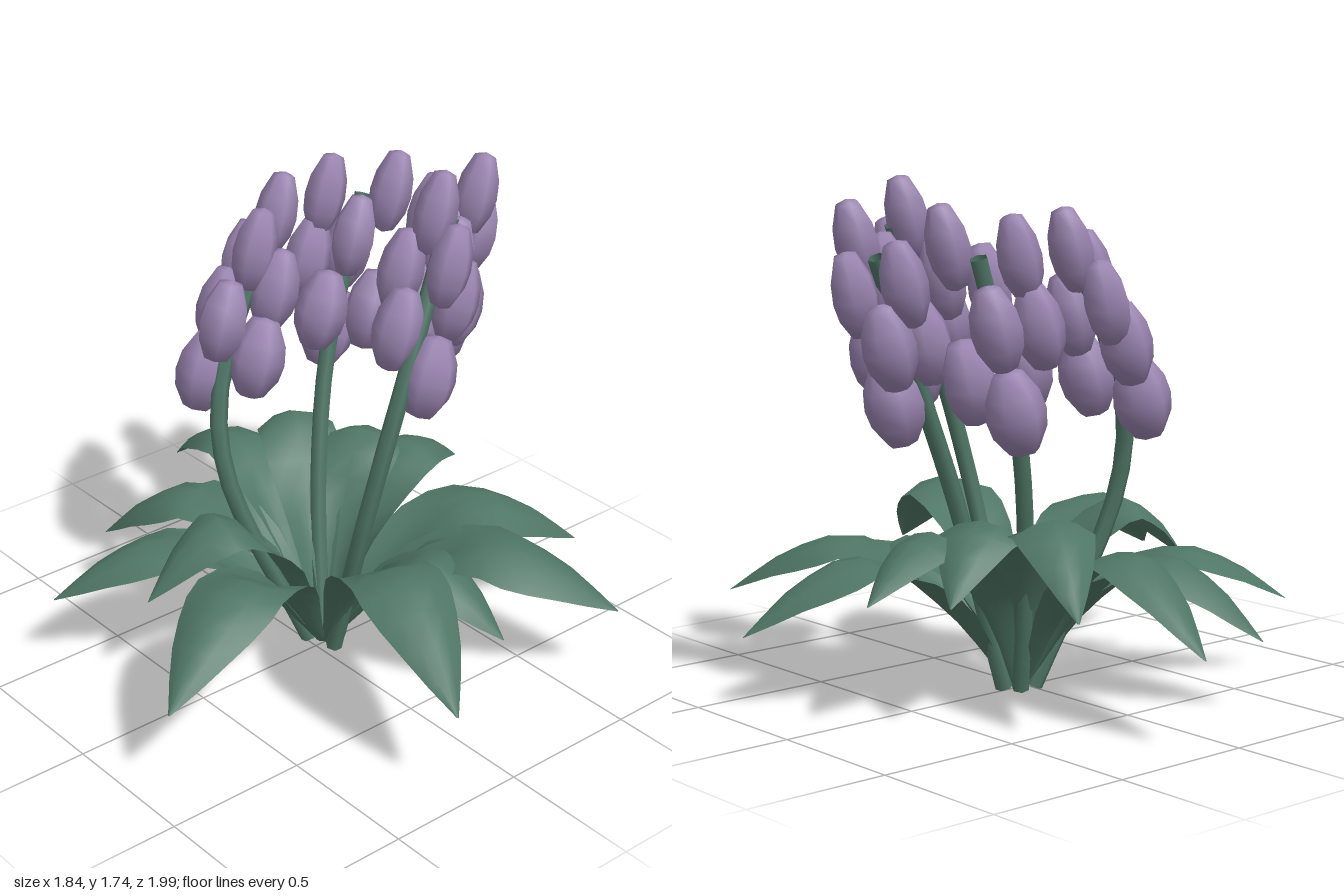
import * as THREE from 'three';

const V = (x, y, z) => new THREE.Vector3(x, y, z);
const ROOT = V(0.045, 0.01, -0.01);

// Arched leaf: cross-sections swept along a curve, channelled low down and domed past the bend
function leafGeometry(tipX, tipZ, tipY, peak, halfWidth) {
  const out = V(tipX - ROOT.x, 0, tipZ - ROOT.z);
  const reach = out.length();
  out.normalize();
  const side = V(-out.z, 0, out.x);
  const at = (r, y) => ROOT.clone().addScaledVector(out, r).setY(y);
  const curve = new THREE.CatmullRomCurve3([
    at(0.03, 0.01), at(0.28 * reach, peak * 0.6), at(0.58 * reach, peak),
    at(0.8 * reach, tipY + (peak - tipY) * 0.68), at(reach, tipY),
  ]);
  const rows = 12, cols = 4, pos = [], index = [];
  for (let i = 0; i <= rows; i++) {
    const t = i / rows;
    const p = curve.getPointAt(t);
    const up = side.clone().cross(curve.getTangentAt(t)).normalize();
    if (up.y < 0) up.negate();
    // widens steadily to two thirds of the length, then narrows to a point
    const w = halfWidth * (t < 0.64
      ? THREE.MathUtils.lerp(0.15, 1, Math.sin((t / 0.64) * Math.PI / 2) ** 1.5)
      : 1 - 0.98 * ((t - 0.64) / 0.36) ** 1.6);
    const depth = THREE.MathUtils.lerp(0.6, -0.45, THREE.MathUtils.smoothstep(t, 0.25, 0.72));
    for (let j = 0; j <= cols; j++) {
      const u = (2 * j) / cols - 1;
      const q = p.clone().addScaledVector(side, u * w).addScaledVector(up, u * u * depth * w);
      pos.push(q.x, Math.max(q.y, 0), q.z);
      if (i && j) {
        const d = i * (cols + 1) + j, c = d - 1, b = d - cols - 1, a = b - 1;
        index.push(a, b, d, a, d, c);
      }
    }
  }
  const g = new THREE.BufferGeometry();
  g.setAttribute('position', new THREE.Float32BufferAttribute(pos, 3));
  g.setIndex(index);
  g.computeVertexNormals();
  return g;
}

// Six-sided bud with blunt ends, one unit in radius and half height
function budGeometry() {
  const profile = [[0, -1], [0.5, -0.9], [0.9, -0.45], [1, -0.05], [0.9, 0.4], [0.5, 0.92], [0, 1]];
  return new THREE.LatheGeometry(profile.map(([r, y]) => new THREE.Vector2(r, y)), 6);
}

// Leaves: tip x, tip z, tip height, peak height, half width
const LEAVES = [
  [0.15, -1.0, 0.3, 0.57, 0.125], [-0.34, -0.78, 0.24, 0.5, 0.15],
  [-0.77, -0.48, 0.27, 0.47, 0.14], [-0.63, -0.12, 0.38, 0.62, 0.14],
  [-0.92, 0.38, 0.32, 0.57, 0.16], [-0.25, 0.99, 0.34, 0.63, 0.16],
  [0.24, 0.69, 0.27, 0.48, 0.14], [0.64, 0.83, 0.29, 0.5, 0.18],
  [0.92, 0.35, 0.25, 0.49, 0.17], [0.8, -0.16, 0.42, 0.61, 0.14],
  [0.4, -0.7, 0.4, 0.67, 0.14], [0.62, -0.35, 0.42, 0.65, 0.15],
];

export function createModel() {
  const model = new THREE.Group();
  const green = new THREE.MeshStandardMaterial({ color: 0x4f7666, side: THREE.DoubleSide });
  green.name = 'leaf green';
  const purple = new THREE.MeshStandardMaterial({ color: 0x9a84b0 });
  purple.name = 'petal purple';

  const add = (parent, name, geometry, material) => {
    const mesh = new THREE.Mesh(geometry, material);
    mesh.name = name;
    parent.add(mesh);
    return mesh;
  };

  const leaves = new THREE.Group();
  leaves.name = 'leaves';
  model.add(leaves);
  LEAVES.forEach((leaf) => add(leaves, 'leaf', leafGeometry(...leaf), green));

  // One stalk with its buds, which shrink upward and lean with the stem
  const budShape = budGeometry();
  const addFlower = (stem, buds) => {
    const flower = new THREE.Group();
    flower.name = 'flower';
    model.add(flower);
    const path = new THREE.CatmullRomCurve3(stem);
    add(flower, 'stem', new THREE.TubeGeometry(path, 14, 0.03, 6), green);
    buds.forEach((position, i) => {
      const f = THREE.MathUtils.clamp((position.y - 1) / 0.5, 0, 1);
      const radius = THREE.MathUtils.lerp(0.1, 0.072, f);
      const bud = add(flower, 'bud', budShape, purple);
      bud.position.copy(position);
      bud.scale.set(radius, 0.145, radius);
      bud.rotation.z = -0.28;
      bud.rotateY(i * 0.7);
    });
  };

  // Left-hand back flower
  addFlower(
    [V(0.01, 0.01, -0.05), V(-0.22, 0.68, -0.21), V(-0.19, 1, -0.27), V(0.06, 1.48, -0.32)],
    [V(-0.19, 1.01, -0.36), V(-0.08, 1.08, -0.21), V(-0.16, 1.21, -0.29), V(-0.08, 1.2, -0.4),
      V(0.02, 1.29, -0.24), V(0.02, 1.34, -0.41), V(-0.02, 1.43, -0.29), V(0.11, 1.51, -0.34)],
  );
  // Front flower
  addFlower(
    [V(0.04, 0.01, 0.05), V(0.04, 0.55, 0.2), V(0.16, 1.06, 0.25), V(0.42, 1.58, 0.18)],
    [V(0.25, 1.09, 0.28), V(0.19, 1.25, 0.19), V(0.33, 1.2, 0.12), V(0.39, 1.32, 0.25),
      V(0.29, 1.4, 0.09), V(0.45, 1.42, 0.16), V(0.34, 1.46, 0.27), V(0.38, 1.6, 0.155)],
  );
  // Middle back flower
  addFlower(
    [V(0.07, 0.01, -0.05), V(0.17, 0.55, -0.19), V(0.28, 0.98, -0.27), V(0.46, 1.5, -0.3)],
    [V(0.35, 1.01, -0.35), V(0.24, 1.14, -0.26), V(0.43, 1.1, -0.22), V(0.29, 1.28, -0.39),
      V(0.44, 1.28, -0.36), V(0.35, 1.4, -0.22), V(0.36, 1.5, -0.38), V(0.5, 1.53, -0.2)],
  );
  // Right-hand flower
  addFlower(
    [V(0.1, 0.01, 0), V(0.3, 0.65, 0), V(0.48, 1.08, -0.02), V(0.68, 1.5, -0.07)],
    [V(0.58, 1.17, 0.06), V(0.61, 1.03, -0.06), V(0.5, 1.22, -0.09), V(0.68, 1.22, -0.13),
      V(0.59, 1.36, -0.02), V(0.73, 1.38, -0.02), V(0.65, 1.42, -0.17), V(0.69, 1.54, 0.02)],
  );
  return model;
}
